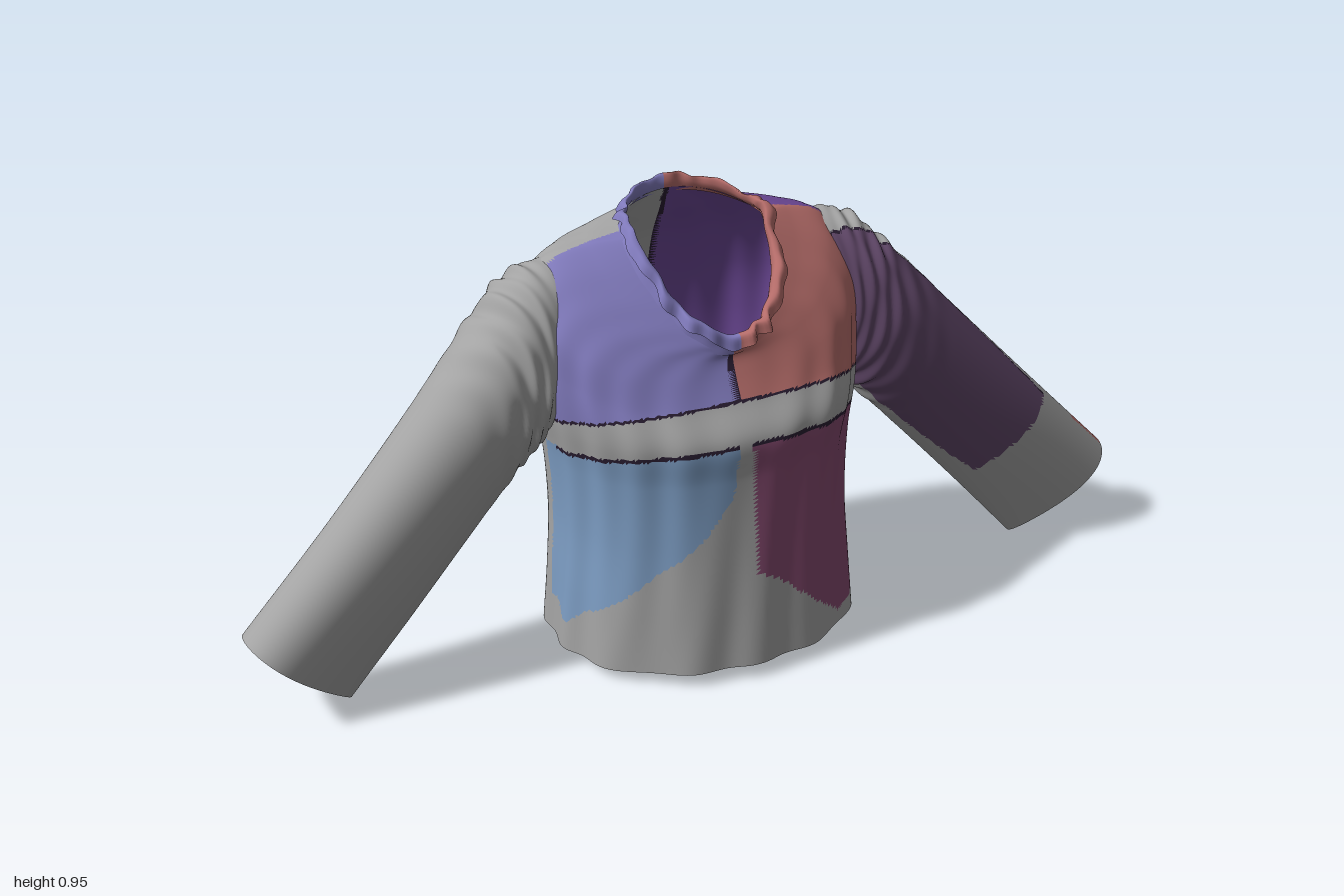
import * as THREE from 'three';

const { lerp, clamp } = THREE.MathUtils;
const palette = {
  grey: 0xa3a3a3, periwinkle: 0x7f79ba, coral: 0xb46c69, blue: 0x7c9cc2,
  maroon: 0x84496e, plum: 0x604768, purple: 0x6c4896, seam: 0x281c30,
};
const names = Object.keys(palette);
const materials = names.map((name) => new THREE.MeshStandardMaterial({
  name, color: palette[name], side: THREE.DoubleSide,
}));

// Closed-around, open-ended cloth surface; each face takes the colour its centre falls in
function cloth(name, cols, rows, pointAt, colourAt, flip = false) {
  const pos = [];
  for (let j = 0; j <= rows; j++) {
    for (let i = 0; i < cols; i++) pos.push(...pointAt((i / cols) * Math.PI * 2, j / rows));
  }
  const buckets = names.map(() => []);
  const addFace = (...f) => {
    const c = [0, 1, 2].map((k) => (pos[f[0] * 3 + k] + pos[f[1] * 3 + k] + pos[f[2] * 3 + k]) / 3);
    if (flip) f.reverse();
    buckets[names.indexOf(colourAt(...c))].push(...f);
  };
  for (let j = 0; j < rows; j++) {
    for (let i = 0; i < cols; i++) {
      const a = j * cols + i, b = j * cols + ((i + 1) % cols);
      addFace(a, a + cols, b);
      addFace(b, a + cols, b + cols);
    }
  }
  const geo = new THREE.BufferGeometry();
  geo.setAttribute('position', new THREE.Float32BufferAttribute(pos, 3));
  geo.setIndex(buckets.flat());
  let start = 0;
  buckets.forEach((b, m) => {
    if (b.length) geo.addGroup(start, b.length, m);
    start += b.length;
  });
  geo.computeVertexNormals();
  const mesh = new THREE.Mesh(geo, materials);
  mesh.name = name;
  return mesh;
}

// Horizontal ring: half width, side z, front z, back z, heights at front, side and back, squareness
function ringPoint([w, zs, zf, zb, yf, ys, yb, e], a) {
  const c = Math.cos(a), s = Math.sin(a);
  const pow = (v) => Math.sign(v) * Math.abs(v) ** e;
  return new THREE.Vector3(
    w * pow(c),
    s > 0 ? lerp(ys, yf, s ** 1.15) : lerp(ys, yb, s * s),
    zs + (s > 0 ? zf - zs : zs - zb) * pow(s),
  );
}

// Smooth vertical curves through the rings, one for each angle
function ringSurface(rings) {
  const cache = new Map();
  return (a, v) => {
    if (!cache.has(a)) cache.set(a, new THREE.CatmullRomCurve3(rings.map((r) => ringPoint(r, a))));
    return cache.get(a).getPoint(v);
  };
}

const bodyRings = [
  [0.328, 0, 0.288, -0.296, 0.036, 0.02, 0.03, 0.93],
  [0.318, 0, 0.276, -0.3, 0.16, 0.16, 0.16, 0.92],
  [0.31, -0.01, 0.262, -0.302, 0.31, 0.31, 0.31, 0.9],
  [0.318, -0.02, 0.25, -0.296, 0.45, 0.45, 0.48, 0.87],
  [0.338, -0.04, 0.246, -0.284, 0.535, 0.56, 0.6, 0.84],
  [0.352, -0.055, 0.2, -0.263, 0.6, 0.68, 0.7, 0.8],
  [0.35, -0.06, 0.172, -0.23, 0.65, 0.79, 0.8, 0.82],
  [0.308, -0.06, 0.16, -0.19, 0.68, 0.86, 0.87, 0.9],
  [0.22, -0.045, 0.16, -0.165, 0.695, 0.89, 0.913, 0.95],
  [0.15, -0.02, 0.163, -0.155, 0.705, 0.9, 0.93, 1],
];
const collarRings = [
  [0.168, -0.02, 0.163, -0.16, 0.69, 0.888, 0.92, 1],
  [0.142, -0.01, 0.166, -0.158, 0.715, 0.912, 0.942, 1],
  [0.142, 0, 0.18, -0.162, 0.745, 0.928, 0.957, 1],
  [0.152, 0, 0.196, -0.168, 0.745, 0.927, 0.954, 1],
  [0.163, 0, 0.202, -0.172, 0.72, 0.913, 0.935, 1],
];

// Piecewise linear boundary through [x, y] points
function boundary(points, x) {
  for (let i = 1; i < points.length; i++) {
    const [x0, y0] = points[i - 1], [x1, y1] = points[i];
    if (x <= x1) return lerp(y0, y1, clamp((x - x0) / (x1 - x0), 0, 1));
  }
  return points.at(-1)[1];
}
const maroonEdge = [[0, 0.245], [0.06, 0.21], [0.23, 0.06], [0.28, 0.065], [0.33, 0.1]];
const blueEdge = [[-0.33, 0.08], [-0.28, 0.17], [-0.2, 0.25], [-0.1, 0.34], [-0.04, 0.42], [-0.025, 0.54]];

// Patchwork panels of the body, with dark stitching along the main joins
function bodyColour(x, y, z) {
  const bandTop = 0.545 + 0.27 * z, bandBottom = 0.483 + 0.19 * z;
  if (z < -0.055) {
    if (Math.abs(x - 0.003) < 0.006) return 'seam';
    if (x > 0 && Math.abs(y - 0.046) < 0.005) return 'seam';
    return x > 0 && y > 0.05 ? 'purple' : 'grey';
  }
  if (y > bandTop) {
    if (z > 0 && y < bandTop + 0.006) return 'seam';
    if (z > 0 && Math.abs(x + 0.006) < 0.005) return 'seam';
    return x < 0 ? 'periwinkle' : 'coral';
  }
  if (y > bandBottom) return 'grey';
  const onBand = z > 0 && y > bandBottom - 0.009;
  if (x > 0.005) {
    if (z < -0.01 || y < boundary(maroonEdge, x)) return 'grey';
    return onBand ? 'seam' : 'maroon';
  }
  if (x > -0.025 || y < boundary(blueEdge, x)) return 'grey';
  return onBand ? 'seam' : 'blue';
}

// Sleeve sections: upper x, y, lower x, y, back z, front z
const sleeveSections = [
  [0.29, 0.862, 0.315, 0.51, -0.185, 0.035],
  [0.37, 0.847, 0.34, 0.485, -0.195, 0.065],
  [0.46, 0.77, 0.395, 0.435, -0.175, 0.08],
  [0.6, 0.62, 0.49, 0.335, -0.13, 0.082],
  [0.8, 0.408, 0.64, 0.17, -0.09, 0.084],
  [1, 0.2, 0.785, 0.006, -0.068, 0.078],
];
const upperLine = new THREE.CatmullRomCurve3(sleeveSections.map((s) => new THREE.Vector3(s[0], s[1], s[4])));
const lowerLine = new THREE.CatmullRomCurve3(sleeveSections.map((s) => new THREE.Vector3(s[2], s[3], s[5])));

function sleevePoint(side, a, v) {
  const up = upperLine.getPoint(v), lo = lowerLine.getPoint(v);
  // Gathered creases fade out toward the cuff
  const crease = Math.sin(v * 62 + 3 * Math.sin(a * 2 + side)) * Math.sin(a * 3 + v * 17 + side);
  const fold = 1 + 0.07 * crease * Math.sin(Math.PI * clamp(v * 1.6, 0, 1)) ** 2 * (1 - v);
  const k = 0.5 + 0.5 * Math.cos(a) * fold;
  // The section turns from an oval into a teardrop, narrow below
  const teardrop = 1 + 0.5 * v * v * Math.cos(a);
  const z = lerp(up.z, lo.z, 0.5 + 0.5 * Math.sin(a) * fold * teardrop);
  return [side * lerp(lo.x, up.x, k), lerp(lo.y, up.y, k), z - 0.006 * v * (1 - Math.cos(a))];
}

// Patchwork panels of the left sleeve, measured along and across its length
function leftSleeveColour(x, y, z) {
  const along = 0.69 * x - 0.72 * y;
  const across = (0.72 * x + 0.69 * y - 0.575) / 0.285;
  if (along > 0.43 && z < lerp(-0.03, 0.035, across)) return 'coral';
  const plumEdge = -0.01 + 0.12 * Math.max(0, along + 0.1);
  if (along < 0.305 && z > plumEdge) return z < plumEdge + 0.005 && across > 0.5 ? 'seam' : 'plum';
  if (along < -0.01 && z < -0.1 && y < 0.655) return y > 0.645 ? 'seam' : 'purple';
  return 'grey';
}
function rightSleeveColour(x, y, z) {
  return x > -0.39 && z < -0.11 && y > 0.65 && y < 0.79 ? 'periwinkle' : 'grey';
}

export function createModel() {
  const jumper = new THREE.Group();
  jumper.name = 'jumper';

  // Body with soft vertical folds deepening toward the hem and a shallow groove down the back
  const bodySurface = ringSurface(bodyRings);
  jumper.add(cloth('body', 240, 136, (a, v) => {
    const p = bodySurface(a, v);
    const fold = 1 + 0.018 * (1 - v) ** 2 * Math.sin(a * 13 + Math.sin(a * 4) + v * 4)
      + 0.008 * Math.sin(a * 21 + v * 11) * Math.sin(Math.PI * v);
    const groove = p.z < 0 ? 0.025 * (1 - v) * Math.exp(-((p.x / 0.07) ** 2)) : 0;
    return [p.x * fold, p.y, p.z * fold + groove];
  }, bodyColour));

  // Ruffled collar, rolled outward
  const collarSurface = ringSurface(collarRings);
  jumper.add(cloth('collar', 160, 20, (a, v) => {
    const p = collarSurface(a, v);
    const wave = Math.sin(a * 13 + 2 * Math.sin(a * 5)) + 0.4 * Math.sin(a * 23 + 1);
    const r = 1 + 0.04 * v * wave;
    return [p.x * r, p.y + 0.007 * v * Math.sin(a * 9 + 2), p.z * r];
  }, (x) => (x < 0 ? 'periwinkle' : 'coral')));

  // Sleeves
  jumper.add(cloth('leftSleeve', 104, 120, (a, v) => sleevePoint(1, a, v), leftSleeveColour, true));
  jumper.add(cloth('rightSleeve', 104, 120, (a, v) => sleevePoint(-1, a, v), rightSleeveColour));
  return jumper;
}
